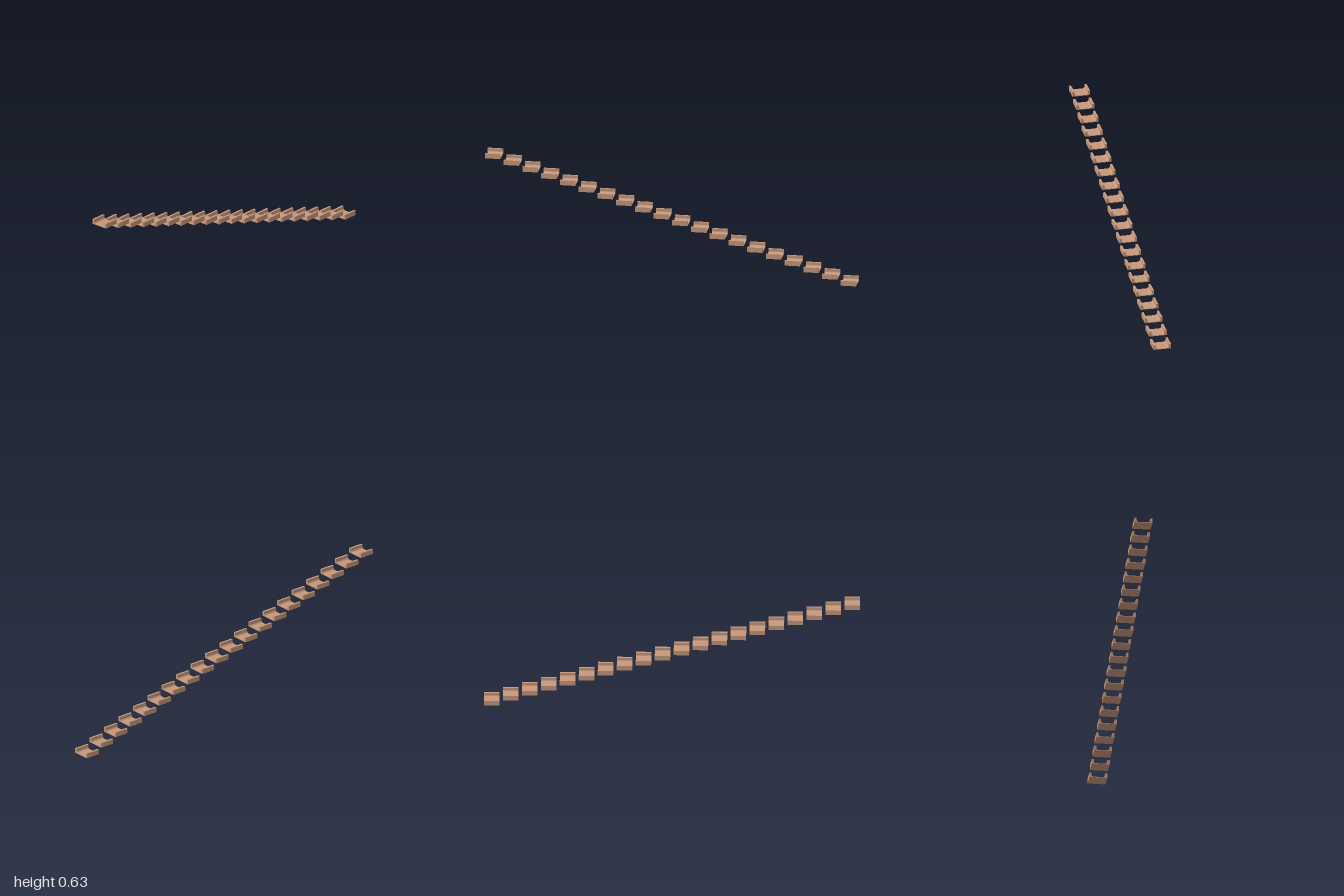
import * as THREE from 'three';

const COUNT = 20;
const LENGTH = 0.083, HEIGHT = 0.027;
const HALF_WIDTH = 0.048, HALF_INNER = 0.0365, FLOOR = 0.0035, FILLET = 0.012;
const STEP_X = (2 - LENGTH) / (COUNT - 1), STEP_Y = 0.032;

// U-shaped channel section with rounded inner corners, extruded along x
function channelGeometry() {
  const s = new THREE.Shape();
  const cx = HALF_INNER - FILLET, cy = FLOOR + FILLET;
  s.moveTo(-HALF_WIDTH, 0);
  s.lineTo(HALF_WIDTH, 0);
  s.lineTo(HALF_WIDTH, HEIGHT);
  s.lineTo(HALF_INNER, HEIGHT);
  s.absarc(cx, cy, FILLET, 0, -Math.PI / 2, true);
  s.absarc(-cx, cy, FILLET, -Math.PI / 2, -Math.PI, true);
  s.lineTo(-HALF_INNER, HEIGHT);
  s.lineTo(-HALF_WIDTH, HEIGHT);
  s.closePath();
  const g = new THREE.ExtrudeGeometry(s, { depth: LENGTH, bevelEnabled: false, curveSegments: 8 });
  g.translate(0, 0, -LENGTH / 2);
  g.rotateY(Math.PI / 2);
  return g;
}

export function createModel() {
  const group = new THREE.Group();
  group.name = 'steppedChannels';
  const clay = new THREE.MeshStandardMaterial({ color: 0xc6977a });
  clay.name = 'clay brown';
  const geometry = channelGeometry();

  // descending row of separate channels, highest at -x
  for (let i = 0; i < COUNT; i++) {
    const channel = new THREE.Mesh(geometry, clay);
    channel.name = `channelStep${i + 1}`;
    channel.position.set(-1 + LENGTH / 2 + i * STEP_X, (COUNT - 1 - i) * STEP_Y, 0);
    group.add(channel);
  }
  return group;
}
